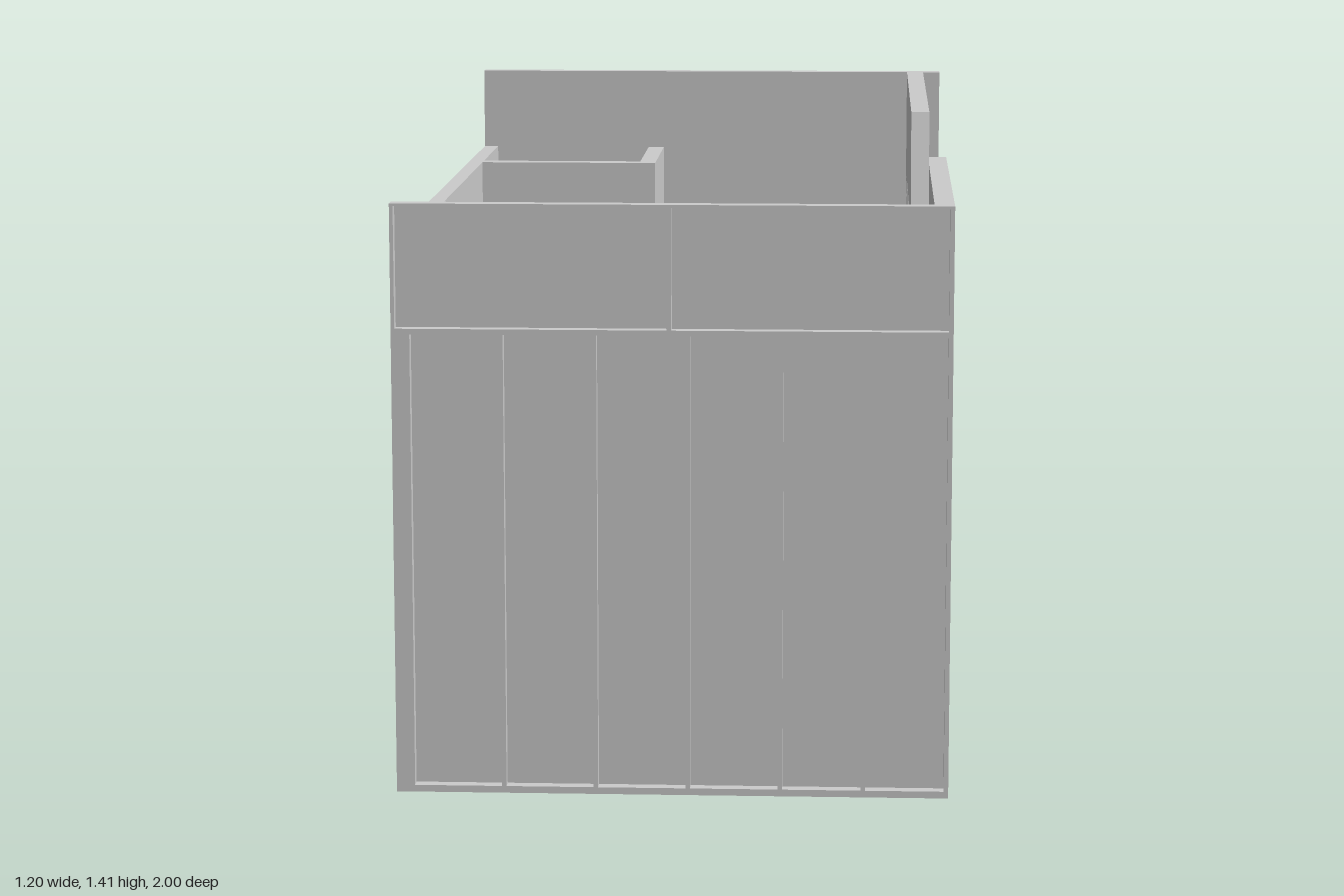
import * as THREE from 'three';

const material = new THREE.MeshStandardMaterial({ color: 0xcccccc, flatShading: true });
const FLOOR = 0.015, DEPTH = 0.035, RAIL = 1.015;

// Box given by its low and high corners
function box(parent, name, [x0, y0, z0], [x1, y1, z1]) {
  const mesh = new THREE.Mesh(new THREE.BoxGeometry(x1 - x0, y1 - y0, z1 - z0), material);
  mesh.position.set((x0 + x1) / 2, (y0 + y1) / 2, (z0 + z1) / 2);
  mesh.name = name;
  parent.add(mesh);
  return mesh;
}

// Framed wall facing local +z: inner sheet with studs and rails outside it
function framedWall(name, { width, height, studs, divider, leftPost, rightPost }) {
  const wall = new THREE.Group();
  wall.name = name;
  const h = width / 2, sheet = -DEPTH + 0.008;
  const member = (part, x0, y0, x1, y1) => box(wall, part, [x0, y0, sheet], [x1, y1, 0]);
  box(wall, 'sheet', [-h, FLOOR, -DEPTH], [h, height, sheet]);
  member('middleRail', -h, RAIL - 0.006, h, RAIL + 0.006);
  member('topRail', -h, height - 0.006, h, height);
  member('leftPost', -h, FLOOR, -h + leftPost, RAIL - 0.006);
  member('rightPost', h - rightPost, FLOOR, h, RAIL - 0.006);
  for (const x of studs) member('stud', x - 0.005, FLOOR, x + 0.005, RAIL - 0.006);
  for (const x of [-h + 0.003, divider, h - 0.005]) {
    member('upperStud', x - 0.005 + (x < -h + 0.01 ? 0.002 : 0), RAIL + 0.006, x + 0.005, height - 0.006);
  }
  return wall;
}

// Slanted-end board: outline in (z, y), extruded along x
function board(parent, name, outline, x0, x1) {
  const shape = new THREE.Shape(outline.map(([z, y]) => new THREE.Vector2(-z, y)));
  const geometry = new THREE.ExtrudeGeometry(shape, { depth: x1 - x0, bevelEnabled: false });
  geometry.rotateY(Math.PI / 2);
  const mesh = new THREE.Mesh(geometry, material);
  mesh.position.x = x0;
  mesh.name = name;
  parent.add(mesh);
}

export function createModel() {
  const model = new THREE.Group();
  model.name = 'openRoomStand';

  // Floor plate on joists
  const floor = new THREE.Group();
  floor.name = 'floor';
  model.add(floor);
  box(floor, 'floorPlate', [-0.6, 0.007, -1], [0.6, FLOOR, 1]);
  for (const s of [-1, 1]) {
    box(floor, 'edgeBeam', [s * 0.595 - 0.005, 0, -1], [s * 0.595 + 0.005, 0.007, 1]);
    box(floor, 'endBeam', [-0.59, 0, s * 0.99 - 0.01], [0.59, 0.007, s * 0.99 + 0.01]);
  }
  for (let i = 1; i < 10; i++) {
    const z = -1 + i * 0.2;
    box(floor, 'joist', [-0.59, 0, z - 0.02], [0.59, 0.007, z + 0.02]);
  }

  // Framed outer walls
  const studs = [-0.365, -0.165, 0.035, 0.235, 0.415];
  const front = framedWall('frontWall', {
    width: 1.2, height: 1.29, studs, divider: -0.005, leftPost: 0.04, rightPost: 0.01,
  });
  front.position.z = 1;
  const back = framedWall('backWall', {
    width: 1.2, height: 1.41, studs: studs.map((x) => -x), divider: 0, leftPost: 0.01, rightPost: 0.04,
  });
  back.rotation.y = Math.PI;
  back.position.z = -1;
  const side = framedWall('sideWall', {
    width: 1.93, height: 1.21, studs: Array.from({ length: 9 }, (_, i) => (i - 4) * 0.193),
    divider: -0.02, leftPost: 0.01, rightPost: 0.01,
  });
  side.rotation.y = -Math.PI / 2;
  side.position.x = -0.6;
  model.add(front, back, side);

  // Overlapping fascia boards over the open side
  board(model, 'frontFascia', [[0.965, 1.075], [0.085, 1.075], [0.008, 1.29], [0.965, 1.29]], 0.557, 0.6);
  board(model, 'rearFascia', [[0.235, 1.157], [-0.965, 1.157], [-0.965, 1.41], [0.157, 1.41]], 0.515, 0.557);

  // Slatted screen
  for (let i = 0; i < 5; i++) {
    const z = -0.56 - i * 0.08;
    box(model, 'screenSlat', [0.515, FLOOR, z - 0.04], [0.557, 1.157, z]);
  }

  // Store room with a doorway
  const room = new THREE.Group();
  room.name = 'storeRoom';
  model.add(room);
  const top = 1.21, doorTop = 0.815;
  box(room, 'roomSide', [-0.165, FLOOR, -0.965], [-0.125, top, -0.605]);
  box(room, 'roomFrontRight', [-0.205, FLOOR, -0.605], [-0.125, top, -0.565]);
  box(room, 'roomFrontLeft', [-0.565, FLOOR, -0.605], [-0.525, top, -0.565]);
  box(room, 'doorHeader', [-0.525, doorTop, -0.605], [-0.205, top, -0.565]);

  // Door standing ajar
  const hinge = new THREE.Group();
  hinge.name = 'door';
  hinge.position.set(-0.525, 0, -0.565);
  hinge.rotation.y = -Math.PI / 4;
  box(hinge, 'doorLeaf', [0, FLOOR, -0.014], [0.312, doorTop, 0]);
  room.add(hinge);

  return model;
}
